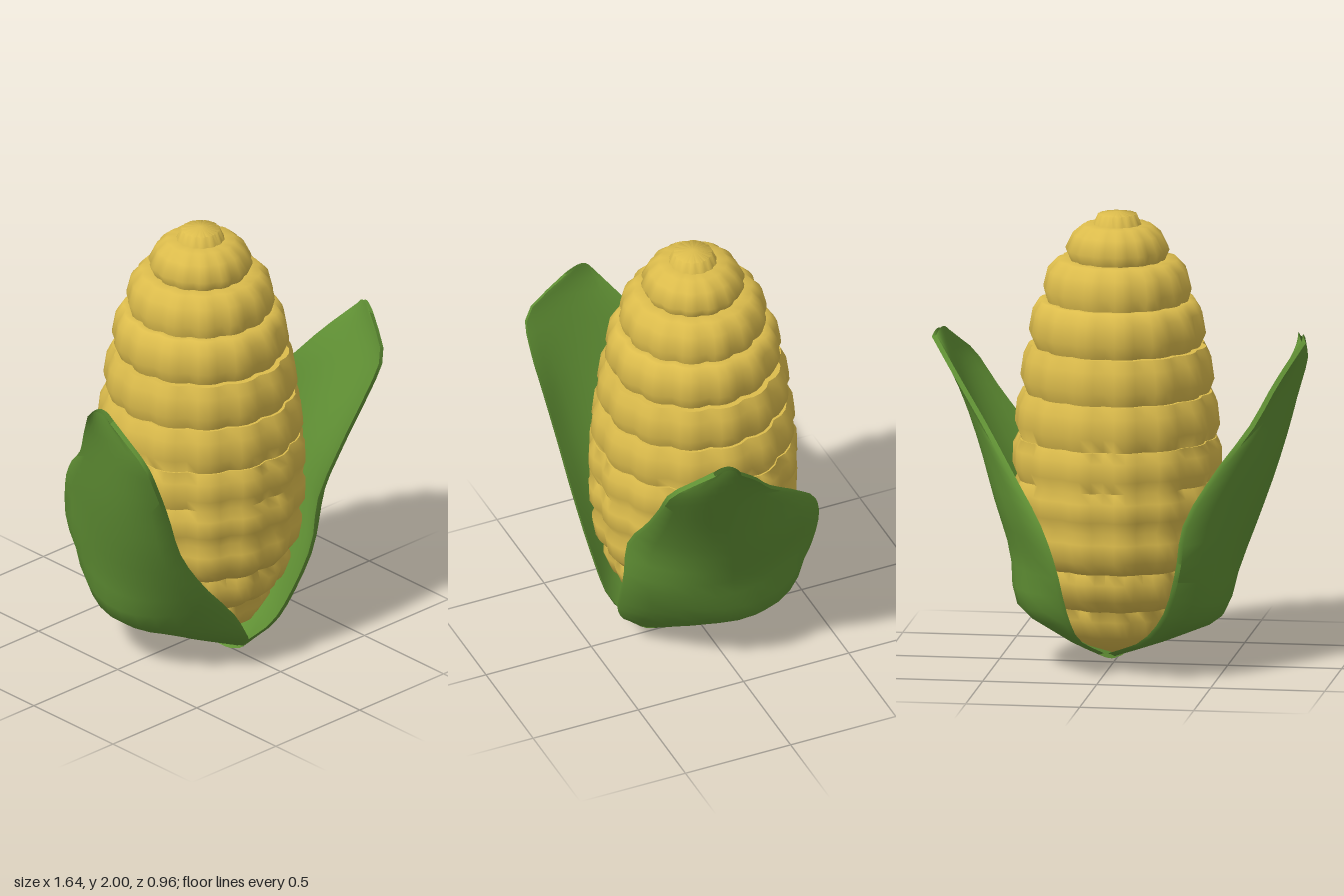
import * as THREE from 'three';
import { toCreasedNormals } from 'three/addons/utils/BufferGeometryUtils.js';

// Surface grid: point(i, j) for rows i = 0..rows (downwards), columns j = 0..cols (to the right)
function gridSurface(rows, cols, point) {
  const positions = [], index = [];
  for (let i = 0; i <= rows; i++)
    for (let j = 0; j <= cols; j++) positions.push(...point(i, j));
  for (let i = 0; i < rows; i++)
    for (let j = 0; j < cols; j++) {
      const a = i * (cols + 1) + j, b = a + 1, c = a + cols + 1, d = c + 1;
      index.push(a, c, d, a, d, b);
    }
  const geometry = new THREE.BufferGeometry();
  geometry.setAttribute('position', new THREE.Float32BufferAttribute(positions, 3));
  geometry.setIndex(index);
  return toCreasedNormals(geometry, 1.05);
}

// Cob: stacked tiers of pillowed kernels with a lobed cross-section
function cobGeometry() {
  // tier: top y, bottom y, then radii at the top, upper shoulder, lower shoulder and bottom
  const tiers = [
    [1.94, 1.79, 0.15, 0.195, 0.228, 0.208],
    [1.79, 1.61, 0.262, 0.305, 0.325, 0.31],
    [1.61, 1.41, 0.34, 0.372, 0.388, 0.362],
    [1.41, 1.21, 0.388, 0.412, 0.425, 0.402],
    [1.21, 1.01, 0.415, 0.44, 0.45, 0.428],
    [1.01, 0.83, 0.435, 0.458, 0.46, 0.438],
    [0.83, 0.65, 0.437, 0.46, 0.457, 0.425],
    [0.65, 0.46, 0.425, 0.445, 0.43, 0.385],
    [0.46, 0.28, 0.38, 0.395, 0.365, 0.305],
    [0.28, 0.1, 0.3, 0.305, 0.255, 0.17],
  ];
  const profile = [[0, 2], [0.085, 1.988], [0.105, 1.943]];
  for (const [top, bottom, ...radii] of tiers)
    [0, 0.25, 0.7, 1].forEach((t, k) => profile.push([radii[k], top + (bottom - top) * t]));
  profile.push([0, 0.04]);

  const columns = 14, steps = 4, lobe = [0.95, 0.988, 1, 0.988];
  return gridSurface(profile.length - 1, columns * steps, (i, j) => {
    const [radius, y] = profile[i];
    const angle = (j / (columns * steps)) * Math.PI * 2;
    const r = radius * lobe[j % steps];
    return [Math.sin(angle) * r - 0.015, y, Math.cos(angle) * r + 0.01];
  });
}

// Husk leaf: a cupped sheet lofted through three guide curves, with a thin inner layer
function leafGeometry(side, front, belly, back) {
  const curves = [front, belly, back].map(
    (points) => new THREE.CatmullRomCurve3(points.map((p) => new THREE.Vector3(...p))));
  const rows = 20, cols = 10, thickness = 0.02;
  return gridSurface(rows, cols * 2 + 2, (i, j) => {
    // Columns cross the outer face, return over the inner face and close the loop
    const inner = j > cols && j < cols * 2 + 2;
    const s = (j <= cols ? j : cols * 2 + 1 - j) / cols;
    const u = Math.max(s, 0);
    const weights = [(1 - u) * (1 - 2 * u), 4 * u * (1 - u), u * (2 * u - 1)];
    const p = new THREE.Vector3();
    curves.forEach((curve, k) => p.addScaledVector(curve.getPoint(1 - i / rows), weights[k]));
    if (inner) p.add(new THREE.Vector3(-side * thickness, thickness * 0.4, 0));
    return p.toArray();
  });
}

export function createModel() {
  const kernelYellow = new THREE.MeshStandardMaterial({ color: 0xdcbc4c });
  kernelYellow.name = 'kernelYellow';
  const huskGreen = new THREE.MeshStandardMaterial({ color: 0x609034, side: THREE.DoubleSide });
  huskGreen.name = 'huskGreen';

  const model = new THREE.Group();
  model.name = 'cornCob';
  const add = (name, geometry, material) => {
    const mesh = new THREE.Mesh(geometry, material);
    mesh.name = name;
    model.add(mesh);
  };

  add('cob', cobGeometry(), kernelYellow);

  // Guide curves run from the base up to the tip
  add('leftHuskLeaf', leafGeometry(1,
    [[0, 0.06, 0.28], [0.07, 0.18, 0.39], [0.15, 0.32, 0.43], [0.25, 0.52, 0.45], [0.29, 0.73, 0.45],
      [0.46, 0.95, 0.43], [0.59, 1.12, 0.43], [0.69, 1.27, 0.42], [0.78, 1.39, 0.26]],
    [[0, 0.005, 0.12], [0.25, 0.16, 0.02], [0.41, 0.28, -0.06], [0.46, 0.5, 0.03], [0.53, 0.72, 0.06],
      [0.61, 0.95, 0.13], [0.69, 1.14, 0.2], [0.75, 1.28, 0.23], [0.8, 1.42, 0.2]],
    [[0.03, 0.08, -0.22], [0.12, 0.17, -0.37], [0.16, 0.3, -0.44], [0.2, 0.5, -0.485], [0.27, 0.68, -0.455],
      [0.41, 0.87, -0.3], [0.57, 1.07, -0.1], [0.71, 1.25, 0.03], [0.82, 1.39, 0.15]],
  ), huskGreen);

  add('rightHuskLeaf', leafGeometry(-1,
    [[0, 0.06, 0.28], [-0.1, 0.16, 0.37], [-0.2, 0.3, 0.4], [-0.4, 0.52, 0.41], [-0.54, 0.72, 0.42],
      [-0.64, 0.95, 0.45], [-0.72, 1.12, 0.47], [-0.78, 1.26, 0.46], [-0.8, 1.41, 0.27]],
    [[0, 0.02, 0.12], [-0.32, 0.15, 0.05], [-0.48, 0.23, 0.02], [-0.55, 0.45, 0.05], [-0.63, 0.7, 0.08],
      [-0.7, 0.93, 0.15], [-0.75, 1.13, 0.22], [-0.78, 1.28, 0.25], [-0.8, 1.44, 0.2]],
    [[-0.03, 0.08, -0.22], [-0.2, 0.17, -0.36], [-0.3, 0.3, -0.42], [-0.36, 0.5, -0.47], [-0.39, 0.7, -0.45],
      [-0.5, 0.9, -0.3], [-0.63, 1.08, -0.1], [-0.72, 1.25, 0.02], [-0.82, 1.41, 0.15]],
  ), huskGreen);

  return model;
}
